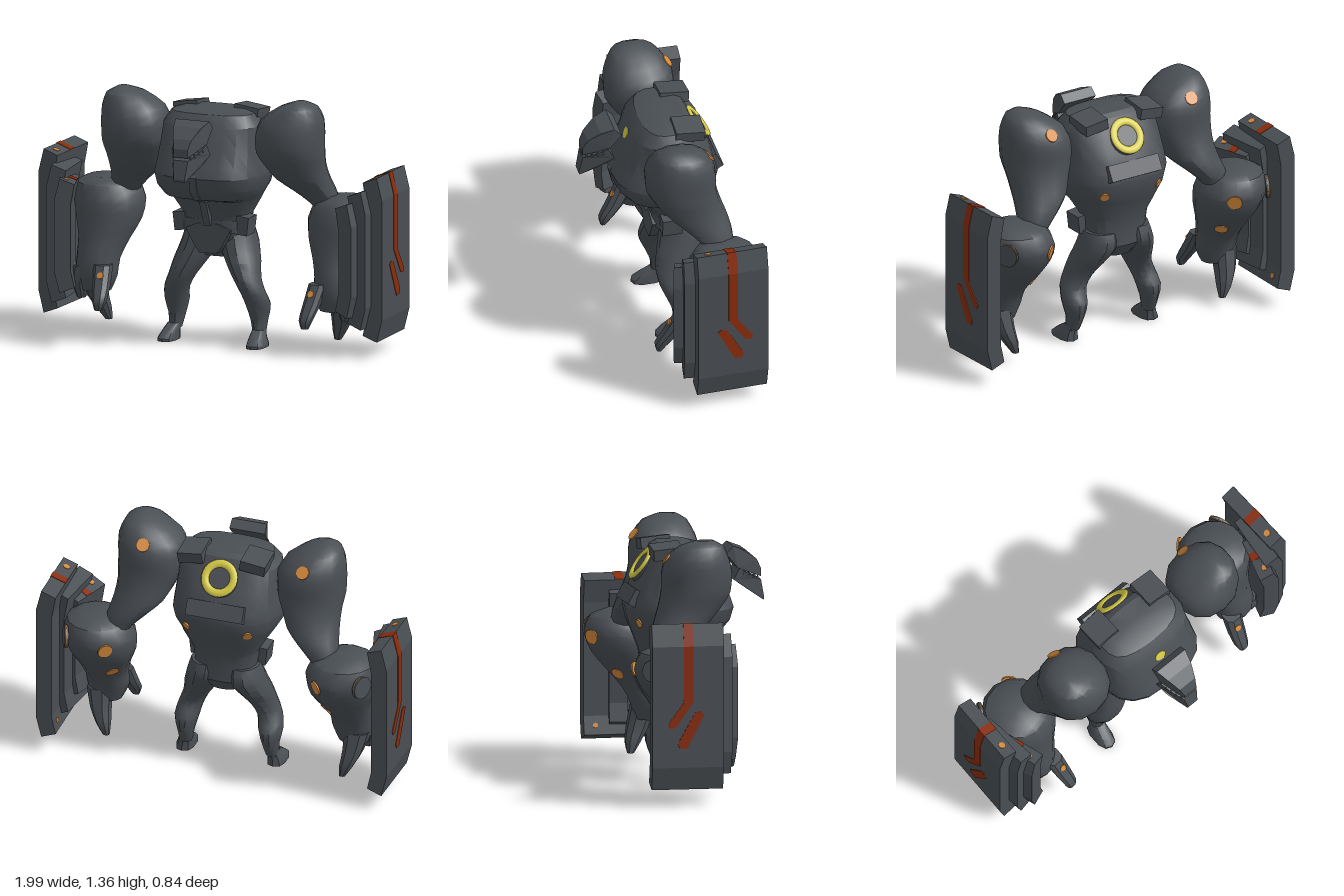
import * as THREE from 'three';
import { toCreasedNormals } from 'three/addons/utils/BufferGeometryUtils.js';

const mat = (name, color) => {
  const m = new THREE.MeshStandardMaterial({ color });
  m.name = name;
  return m;
};

export function createModel() {
  const stone = mat('dark stone', 0x4a4f54);
  const red = mat('rust red', 0x8a2c0c);
  const orange = mat('orange', 0xd68a3c);
  const yellow = mat('yellow', 0xd8cc48);
  const model = new THREE.Group();
  model.name = 'stoneBrute';

  const add = (parent, name, geo, material = stone) => {
    const mesh = new THREE.Mesh(geo, material);
    mesh.name = name;
    parent.add(mesh);
    return mesh;
  };

  // Skin over horizontal rings [x, y, z, rx, rz], listed from top to bottom
  function loft(rows, { seg = 14, sub = 2, power = 2, crease = 0.6 } = {}) {
    const path = new THREE.CatmullRomCurve3(rows.map(r => new THREE.Vector3(r[0], r[1], r[2])));
    const size = new THREE.CatmullRomCurve3(rows.map(r => new THREE.Vector3(r[3], r[4], 0)));
    const n = (rows.length - 1) * sub, pos = [], idx = [];
    const bend = v => Math.sign(v) * Math.abs(v) ** (2 / power);
    for (let i = 0; i <= n; i++) {
      const c = path.getPoint(i / n), s = size.getPoint(i / n);
      for (let j = 0; j < seg; j++) {
        const t = ((j + 0.5) / seg) * Math.PI * 2;
        pos.push(c.x + s.x * bend(Math.cos(t)), c.y, c.z + s.y * bend(Math.sin(t)));
      }
    }
    const first = rows[0], last = rows[rows.length - 1], top = (n + 1) * seg;
    pos.push(...first.slice(0, 3), ...last.slice(0, 3));
    for (let j = 0; j < seg; j++) {
      const k = (j + 1) % seg;
      for (let i = 0; i < n; i++) {
        const a = i * seg + j, b = i * seg + k;
        idx.push(a, b, a + seg, b, b + seg, a + seg);
      }
      idx.push(top, k, j, top + 1, n * seg + j, n * seg + k);
    }
    const g = new THREE.BufferGeometry();
    g.setAttribute('position', new THREE.Float32BufferAttribute(pos, 3));
    g.setIndex(idx);
    return toCreasedNormals(g, crease);
  }

  // Prism from an outline, centred along its depth
  function prism(points, depth) {
    const shape = new THREE.Shape(points.map(p => new THREE.Vector2(...p)));
    return new THREE.ExtrudeGeometry(shape, { depth, bevelEnabled: false }).translate(0, 0, -depth / 2);
  }

  // Thin disc laid on a mesh where a ray from outside meets it
  function spot(parent, name, mesh, target, dir, r, material = orange, h = 0.009) {
    const d = new THREE.Vector3(...dir).normalize();
    const t = new THREE.Vector3(...target);
    const hit = new THREE.Raycaster(t.clone().addScaledVector(d, 1), d.clone().negate()).intersectObject(mesh)[0];
    const disc = add(parent, name, new THREE.CylinderGeometry(r, r, h, 16), material);
    disc.position.copy(hit ? hit.point : t);
    disc.quaternion.setFromUnitVectors(new THREE.Vector3(0, 1, 0), hit ? hit.face.normal : d);
  }

  // Torso from rows of [y, front z, back z, half width]
  const torsoRows = [
    [1.28, 0.03, -0.15, 0.17], [1.262, 0.09, -0.18, 0.23], [1.2, 0.14, -0.215, 0.27], [1.1, 0.175, -0.27, 0.28],
    [1.0, 0.225, -0.32, 0.29], [0.94, 0.245, -0.33, 0.3], [0.87, 0.225, -0.315, 0.285], [0.815, 0.18, -0.295, 0.25],
    [0.795, 0.1, -0.285, 0.235], [0.7, 0.04, -0.25, 0.18], [0.62, 0.02, -0.24, 0.17], [0.54, 0, -0.245, 0.16],
    [0.47, -0.04, -0.2, 0.08],
  ].map(([y, f, b, w]) => [0, y, (f + b) / 2, w, (f - b) / 2]);
  const torso = add(model, 'torso', loft(torsoRows, { seg: 18, sub: 1, power: 2.8, crease: 0.45 }));

  // Breast keel, loin guard and belt
  add(model, 'keel', prism([[0.225, 0.97], [0.25, 0.945], [0.23, 0.86], [0.18, 0.81], [0.11, 0.79], [0.05, 0.65], [0.02, 0.66], [0.1, 0.9]], 0.04).rotateY(-Math.PI / 2));
  add(model, 'loinGuard', prism([[-0.13, 0.63], [-0.08, 0.54], [-0.05, 0.5], [0.05, 0.5], [0.08, 0.54], [0.13, 0.63], [0.06, 0.66], [-0.06, 0.66]], 0.06)).position.z = 0.01;
  add(model, 'belt', loft([[0, 0.68, -0.06, 0.185, 0.095], [0, 0.61, -0.06, 0.185, 0.095]], { seg: 18, sub: 1, power: 2.7 }));
  spot(model, 'chestLight', torso, [0, 1.16, 0.15], [0, 0.2, 1], 0.032, yellow, 0.004);

  // Back plate and glowing ring on the upper back
  const backPlate = add(model, 'backPlate', new THREE.BoxGeometry(0.32, 0.09, 0.05));
  backPlate.position.set(0, 1.0, -0.3);
  backPlate.rotation.x = 0.5;
  const port = new THREE.Group();
  port.name = 'backPort';
  port.position.set(0, 1.165, -0.236);
  port.quaternion.setFromUnitVectors(new THREE.Vector3(0, 0, 1), new THREE.Vector3(0, 0.58, -0.81).normalize());
  model.add(port);
  add(port, 'portHub', new THREE.CylinderGeometry(0.09, 0.11, 0.05, 24).rotateX(Math.PI / 2)).position.z = -0.015;
  add(port, 'portRing', new THREE.TorusGeometry(0.08, 0.022, 8, 28).scale(1, 1, 0.5), yellow).position.z = 0.01;

  // Head: side outlines in (z, y), narrowing to the snout
  function headPart(points, grow) {
    const g = prism(points, 2).rotateY(-Math.PI / 2);
    const p = g.attributes.position;
    for (let i = 0; i < p.count; i++) {
      const t = THREE.MathUtils.clamp((p.getZ(i) - 0.22) / 0.2, 0, 1);
      p.setX(i, p.getX(i) * THREE.MathUtils.lerp(0.1, 0.03, t ** 1.6) * grow);
    }
    g.computeVertexNormals();
    return g;
  }
  const head = new THREE.Group();
  head.name = 'head';
  model.add(head);
  add(head, 'skull', headPart([[0.24, 1.26], [0.2, 1.22], [0.265, 1.14], [0.35, 1.105], [0.4, 1.085], [0.4, 1.13], [0.375, 1.18], [0.31, 1.235]], 1));
  add(head, 'jaw', headPart([[0.275, 1.14], [0.24, 1.08], [0.31, 1.03], [0.416, 0.957], [0.42, 0.97], [0.4, 1.07], [0.37, 1.085], [0.33, 1.105]], 1.06));
  for (const s of [-1, 1]) for (let i = 0; i < 4; i++) {
    const tooth = add(head, 'tooth', new THREE.ConeGeometry(0.009, 0.026, 4));
    tooth.position.set(s * (0.086 - i * 0.013), 1.118 - i * 0.011, 0.3 + i * 0.027);
  }

  // Shield profile in (x, y): a slab with both ends bent inward
  const profile = (x, lo, hi) => [[x - 0.03, hi], [x, hi - 0.12], [x, lo + 0.12], [x - 0.03, lo],
    [x - 0.11, lo + 0.03], [x - 0.088, lo + 0.13], [x - 0.088, hi - 0.15], [x - 0.11, hi - 0.03]];
  // Band following the top and outer face of that profile down to a given height
  const band = (x, hi, end, e = 0.003) => [[x - 0.11, hi - 0.03], [x - 0.11, hi - 0.03 + e], [x - 0.03 + e, hi + e],
    [x + e, hi - 0.12], [x + e, end], [x - 0.001, end], [x - 0.001, hi - 0.12], [x - 0.03, hi]];

  function buildSide(side) {
    // Upper arm and shoulder
    const arm = add(side, 'shoulderAndUpperArm', loft([
      [0.515, 1.357, 0, 0.03, 0.05], [0.5, 1.325, -0.015, 0.1, 0.12], [0.462, 1.25, -0.028, 0.167, 0.172], [0.448, 1.17, -0.03, 0.184, 0.192],
      [0.448, 1.08, -0.035, 0.182, 0.188], [0.462, 1.0, -0.07, 0.158, 0.172], [0.485, 0.92, -0.12, 0.14, 0.15],
      [0.53, 0.85, -0.17, 0.11, 0.118], [0.575, 0.78, -0.205, 0.08, 0.085], [0.6, 0.72, -0.22, 0.06, 0.07]], { power: 2.25 }));
    spot(side, 'shoulderLight', arm, [0.45, 1.235, -0.17], [0, 0.75, -0.65], 0.036);

    // Forearm and hand
    const forearm = add(side, 'forearm', loft([
      [0.7, 0.825, -0.2, 0.09, 0.09], [0.695, 0.79, -0.215, 0.165, 0.165], [0.68, 0.7, -0.215, 0.195, 0.2],
      [0.675, 0.6, -0.19, 0.178, 0.185], [0.68, 0.5, -0.14, 0.14, 0.15], [0.69, 0.4, -0.085, 0.118, 0.12],
      [0.69, 0.31, -0.06, 0.115, 0.1], [0.695, 0.23, -0.06, 0.085, 0.075]]));
    spot(side, 'elbowLight', forearm, [0.595, 0.69, -0.38], [-0.2, 0, -1], 0.04);
    spot(side, 'forearmLight', forearm, [0.605, 0.49, -0.23], [-0.2, -0.2, -1], 0.036);
    spot(side, 'elbowCapRim', forearm, [0.79, 0.71, -0.3], [0.75, 0, -0.65], 0.0645, orange, 0.003);
    spot(side, 'elbowCap', forearm, [0.79, 0.71, -0.3], [0.75, 0, -0.65], 0.062, stone, 0.02);

    // Claws, the first one being the thumb
    const [thumb] = [
      [[0.625, 0.38, 0.0, 0.05, 0.05], [0.61, 0.27, 0.06, 0.045, 0.048], [0.6, 0.2, 0.11, 0.036, 0.038], [0.6, 0.155, 0.125, 0.02, 0.015]],
      [[0.725, 0.3, -0.09, 0.07, 0.065], [0.71, 0.19, -0.12, 0.055, 0.06], [0.685, 0.11, -0.15, 0.038, 0.044], [0.665, 0.05, -0.165, 0.018, 0.018]],
      [[0.755, 0.36, -0.03, 0.05, 0.05], [0.77, 0.27, -0.02, 0.04, 0.045], [0.765, 0.185, -0.03, 0.022, 0.022]],
    ].map(rows => add(side, 'claw', loft(rows, { seg: 8, power: 2.5 })));
    spot(side, 'thumbLight', thumb, [0.61, 0.33, 0.06], [0, 0.2, 1], 0.018);

    // Layered shield: three slabs fanned round the forearm
    const slabs = [
      { x: 0.992, lo: 0.09, hi: 0.98, depth: 0.385, z: -0.182, turn: 0.025 },
      { x: 0.945, lo: 0.16, hi: 0.91, depth: 0.3, z: -0.085, turn: -0.12 },
      { x: 0.9, lo: 0.225, hi: 0.845, depth: 0.24, z: -0.015, turn: -0.3 },
    ];
    const [outer, , inner] = slabs.map(({ x, lo, hi, depth, z, turn }) => {
      const slab = new THREE.Group();
      slab.name = 'shieldLayer';
      slab.position.set(x - 0.045, 0, z);
      slab.rotation.y = turn;
      side.add(slab);
      add(slab, 'shieldPlate', prism(profile(0.045, lo, hi), depth));
      return slab;
    });
    const up = [0, 1, 0];
    spot(outer, 'shieldLight', outer.children[0], [-0.024, 0.965, 0.122], up, 0.018, orange, 0.008);
    spot(outer, 'innerShieldLight', outer.children[0], [-0.06, 0.17, -0.13], [-1, 0, 0], 0.014, orange, 0.008);
    spot(inner, 'shieldLight', inner.children[0], [-0.014, 0.83, 0.066], up, 0.016, orange, 0.008);

    // Red bands wrapping over the shield tops
    add(outer, 'shieldStripe', prism(band(0.045, 0.98, 0.56), 0.05), red).position.z = 0.002;
    add(inner, 'shieldStripe', prism(band(0.045, 0.845, 0.72), 0.045), red).position.z = -0.018;
    // Slanted marks, outlined in (-z, y)
    const marks = [
      [[0.155, 0.58], [0.205, 0.58], [0.21, 0.555], [0.29, 0.445], [0.28, 0.42], [0.25, 0.425], [0.16, 0.555]],
      [[0.095, 0.495], [0.115, 0.51], [0.145, 0.505], [0.238, 0.34], [0.23, 0.315], [0.19, 0.31]],
    ];
    for (const m of marks) add(outer, 'shieldMark', prism(m, 0.005).rotateY(Math.PI / 2), red).position.set(0.0455, 0, 0.182);

    // Leg and foot
    add(side, 'leg', loft([
      [0.1, 0.62, -0.13, 0.09, 0.11], [0.112, 0.54, -0.128, 0.102, 0.13], [0.148, 0.45, -0.092, 0.094, 0.115],
      [0.188, 0.36, -0.055, 0.074, 0.09], [0.22, 0.29, -0.055, 0.068, 0.078], [0.235, 0.22, -0.09, 0.066, 0.082],
      [0.238, 0.14, -0.1, 0.047, 0.06], [0.243, 0.06, -0.085, 0.035, 0.04]], { seg: 12 }));
    add(side, 'foot', loft([[0.245, 0.085, -0.08, 0.034, 0.04], [0.252, 0.045, -0.045, 0.042, 0.07],
      [0.257, 0.015, -0.03, 0.05, 0.09], [0.257, 0, -0.03, 0.05, 0.09]], { seg: 10, sub: 1, power: 2.6 }));

    // Hip pouch, collar plate and lower back light
    const pouch = add(side, 'hipPouch', new THREE.BoxGeometry(0.07, 0.1, 0.11));
    pouch.position.set(0.18, 0.655, -0.05);
    pouch.rotation.z = -0.12;
    const collar = add(side, 'collarPlate', new THREE.BoxGeometry(0.14, 0.06, 0.16));
    collar.position.set(0.175, 1.255, -0.14);
    collar.rotation.set(-0.1, 0, -0.14);
    spot(side, 'backLight', torso, [0.155, 0.87, -0.27], [0.75, 0, -0.65], 0.024);
  }

  // Mirrored halves
  for (const [name, s] of [['leftSide', 1], ['rightSide', -1]]) {
    const side = new THREE.Group();
    side.name = name;
    buildSide(side);
    side.scale.x = s;
    model.add(side);
  }
  return model;
}
